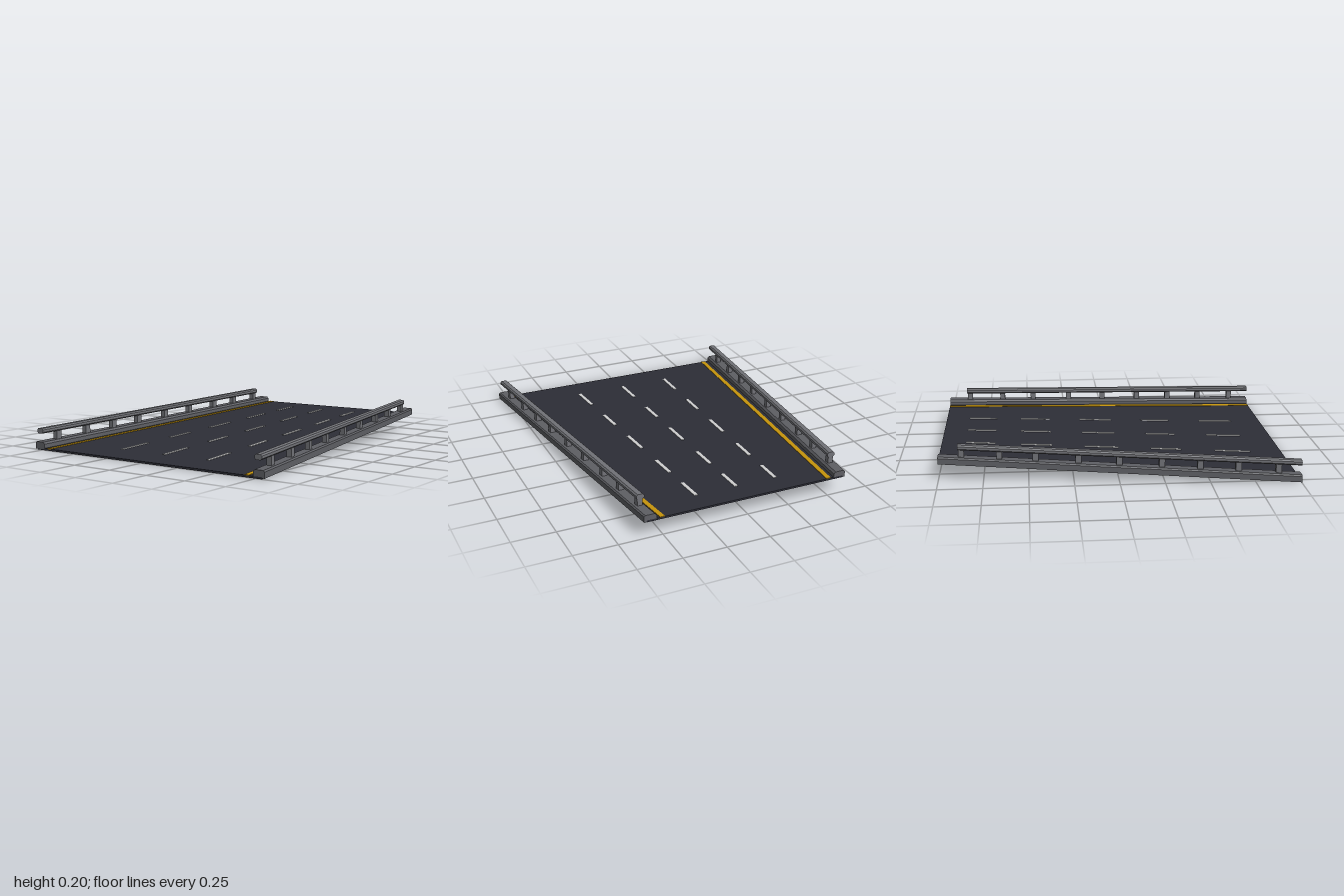
import * as THREE from 'three';

const mat = (name, color) => {
  const m = new THREE.MeshStandardMaterial({ color });
  m.name = name;
  return m;
};

export function createModel() {
  const asphalt = mat('asphalt', 0x2d2e37);
  const yellow = mat('yellow paint', 0xc8960c);
  const white = mat('white paint', 0xd2d2d2);
  const concrete = mat('concrete', 0x5f6065);
  const steel = mat('rail grey', 0x727378);

  const model = new THREE.Group();
  model.name = 'taperedRoadRamp';
  const SLOPE = 0.047;

  // Sweep a cross-section (given at z = 0) from zBack to zFront;
  // it widens away from the centre by `taper` and descends by `slope` per unit z.
  function sweep(parent, name, material, points, zBack, zFront, taper = 0.1, slope = SLOPE) {
    const shape = new THREE.Shape(points.map(([x, y]) => new THREE.Vector2(x, y)));
    const geo = new THREE.ExtrudeGeometry(shape, { depth: 1, bevelEnabled: false });
    const p = geo.attributes.position;
    for (let i = 0; i < p.count; i++) {
      const x = p.getX(i);
      const z = zBack + p.getZ(i) * (zFront - zBack);
      p.setXYZ(i, x + Math.sign(x) * taper * z, p.getY(i) - slope * z, z);
    }
    geo.computeVertexNormals();
    const mesh = new THREE.Mesh(geo, material);
    mesh.name = name;
    parent.add(mesh);
  }

  const rect = (x0, x1, y0, y1) => [[x0, y0], [x1, y0], [x1, y1], [x0, y1]];

  // Rectangle with cut corners
  const chamfered = (x0, x1, y0, y1, c) => [
    [x0 + c, y0], [x1 - c, y0], [x1, y0 + c], [x1, y1 - c],
    [x1 - c, y1], [x0 + c, y1], [x0, y1 - c], [x0, y0 + c],
  ];

  // Road slab
  const top = 0.058;
  sweep(model, 'roadSlab', asphalt, rect(-0.69, 0.69, 0.047, top), -1, 1);

  // Lane dashes in three rows
  const dashes = [[-0.86, -0.69], [-0.54, -0.36], [-0.17, 0.03], [0.22, 0.4], [0.6, 0.81]];
  for (const x of [-0.275, 0, 0.275]) {
    for (const [z0, z1] of dashes) {
      sweep(model, 'laneDash', white, rect(x - 0.01, x + 0.01, top - 0.002, top + 0.003),
        z0, z1, x === 0 ? 0 : 0.039);
    }
  }

  // Both edges: yellow line, kerb, posts and handrail
  const postZ = [-0.87, -0.66, -0.46, -0.225, 0, 0.235, 0.445, 0.655, 0.875];
  for (const side of [1, -1]) {
    const edge = new THREE.Group();
    edge.name = side > 0 ? 'leftEdge' : 'rightEdge';
    model.add(edge);
    const flip = (pts) => pts.map(([x, y]) => [x * side, y]);

    sweep(edge, 'edgeLine', yellow, flip(rect(0.585, 0.612, top - 0.002, top + 0.003)), -1, 1, 0.0975);
    sweep(edge, 'kerb', concrete, flip([
      [0.634, 0.05], [0.705, 0.05], [0.705, 0.083], [0.698, 0.091], [0.645, 0.091], [0.634, 0.08],
    ]), -1, 1, 0.1, 0.045);
    sweep(edge, 'handrail', steel, flip(chamfered(0.645, 0.69, 0.135, 0.165, 0.008)), -0.89, 1, 0.099, 0.04);
    for (const z of postZ) {
      sweep(edge, 'post', steel, flip(rect(0.653, 0.683, 0.085, 0.14)), z - 0.016, z + 0.016, 0.099, 0.042);
    }
  }
  return model;
}
